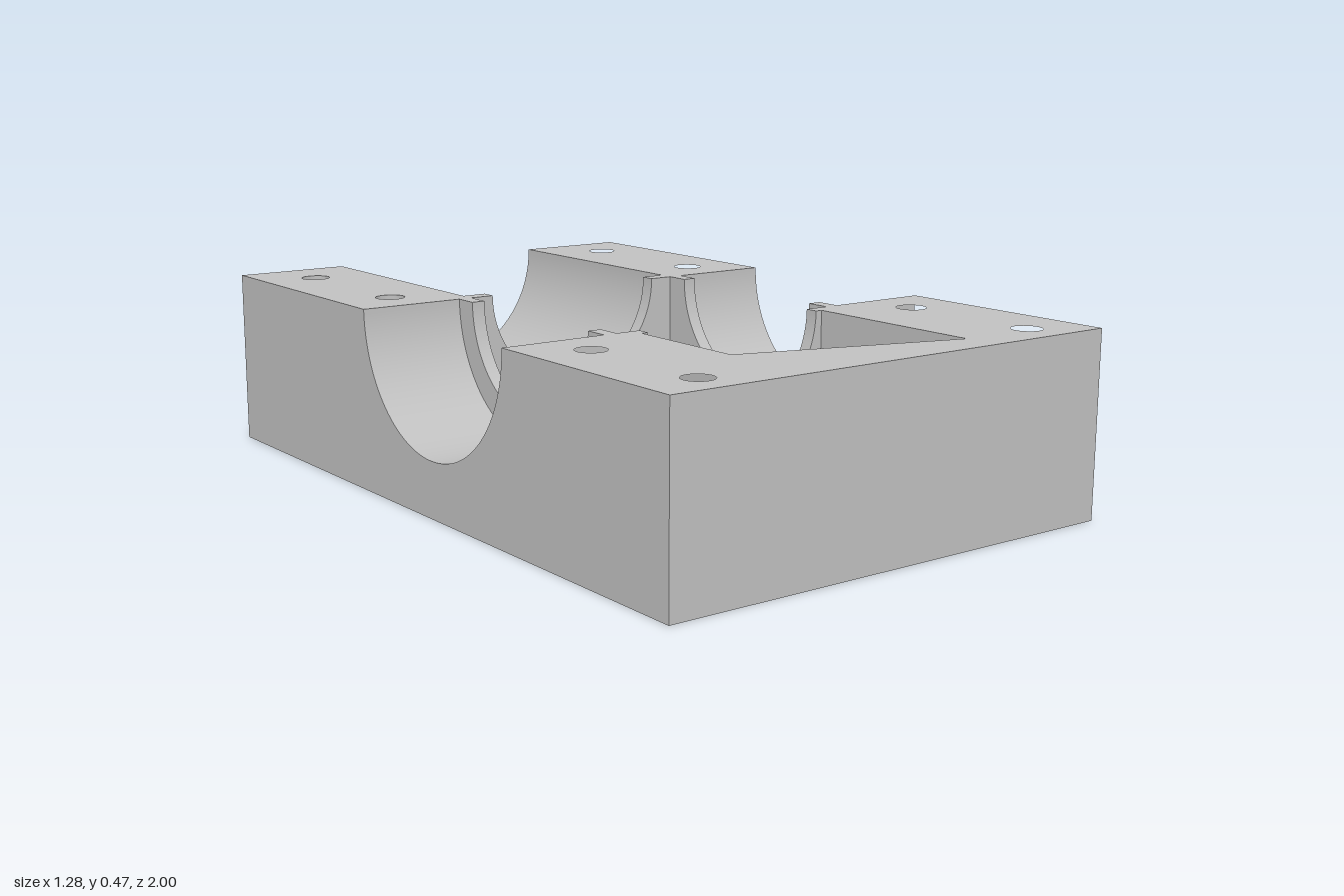
import * as THREE from 'three';
import { toCreasedNormals } from 'three/addons/utils/BufferGeometryUtils.js';

const W = 0.638, TOP = 0.47, FLOOR = 0.13;   // half width, block height, pocket floor
const ZB = -0.265, ZF = 0.385, ZC = 0.06;    // back, front and centre of the cross channel
const R = 0.325, LIP_R = 0.26, POCKET = 0.278;
const HOLE_X = 0.49;

export function createModel() {
  const model = new THREE.Group();
  const metal = new THREE.MeshStandardMaterial({ color: 0xc0c0c0 });
  metal.name = 'grey metal';

  function add(name, geometry) {
    const mesh = new THREE.Mesh(toCreasedNormals(geometry, 0.5), metal);
    mesh.name = name;
    model.add(mesh);
    return mesh;
  }

  // Upright prism from plan points [x, z], with round holes [x, z]
  function plan(name, points, y0, y1, holes, radius) {
    const shape = new THREE.Shape(points.map(([x, z]) => new THREE.Vector2(x, -z)));
    for (const [x, z] of holes) {
      const path = new THREE.Path();
      path.absarc(x, -z, radius, 0, Math.PI * 2, true);
      shape.holes.push(path);
    }
    const geometry = new THREE.ExtrudeGeometry(shape, { depth: y1 - y0, bevelEnabled: false, curveSegments: 20 });
    geometry.rotateX(-Math.PI / 2).translate(0, y0, 0);
    return add(name, geometry);
  }

  // Bar along z with a half-round trough in its top
  function cradle(name, halfWidth, radius, z0, z1) {
    const shape = new THREE.Shape();
    shape.moveTo(-halfWidth, FLOOR);
    shape.lineTo(halfWidth, FLOOR);
    shape.lineTo(halfWidth, TOP);
    if (halfWidth > radius) shape.lineTo(radius, TOP);
    shape.absarc(0, TOP, radius, 0, -Math.PI, true);
    if (halfWidth > radius) shape.lineTo(-halfWidth, TOP);
    const geometry = new THREE.ExtrudeGeometry(shape, { depth: z1 - z0, bevelEnabled: false, curveSegments: 40 });
    geometry.translate(0, 0, z0);
    return add(name, geometry);
  }

  // Base slab with the wide bolt recesses underneath
  const boltZ = [-0.835, -0.4, 0.52, 0.9];
  const allBolts = boltZ.flatMap((z) => [[-HOLE_X, z], [HOLE_X, z]]);
  plan('baseSlab', [[-W, -1], [W, -1], [W, 1], [-W, 1]], 0, FLOOR, allBolts, 0.066);

  // Rear shoulders either side of the long channel
  for (const s of [-1, 1]) {
    plan(s < 0 ? 'rightRearShoulder' : 'leftRearShoulder',
      [[s * R, -1], [s * W, -1], [s * W, ZB], [s * R, ZB]],
      FLOOR, TOP, [[s * HOLE_X, boltZ[0]], [s * HOLE_X, boltZ[1]]], 0.038);
  }

  // Front body wrapped around the slanted pocket
  plan('frontBody',
    [[-W, ZF], [-POCKET, ZF], [-POCKET, 0.745], [POCKET, 0.91], [POCKET, ZF], [W, ZF], [W, 1], [-W, 1]],
    FLOOR, TOP, allBolts.slice(4), 0.038);

  // Long rear channel and the retaining lips before and behind the middle
  cradle('rearChannel', R, R, -1, -0.305);
  cradle('rearLip', R, LIP_R, -0.305, ZB);
  cradle('frontLip', POCKET, LIP_R, ZF, 0.42);

  // Side channels with their lips
  for (const s of [-1, 1]) {
    const side = s < 0 ? 'right' : 'left';
    const parts = [
      cradle(side + 'Channel', R, R, 0.361, W),
      cradle(side + 'Lip', R, LIP_R, R, 0.361),
    ];
    for (const part of parts) {
      part.rotation.y = s * Math.PI / 2;
      part.position.z = ZC;
    }
  }
  return model;
}
